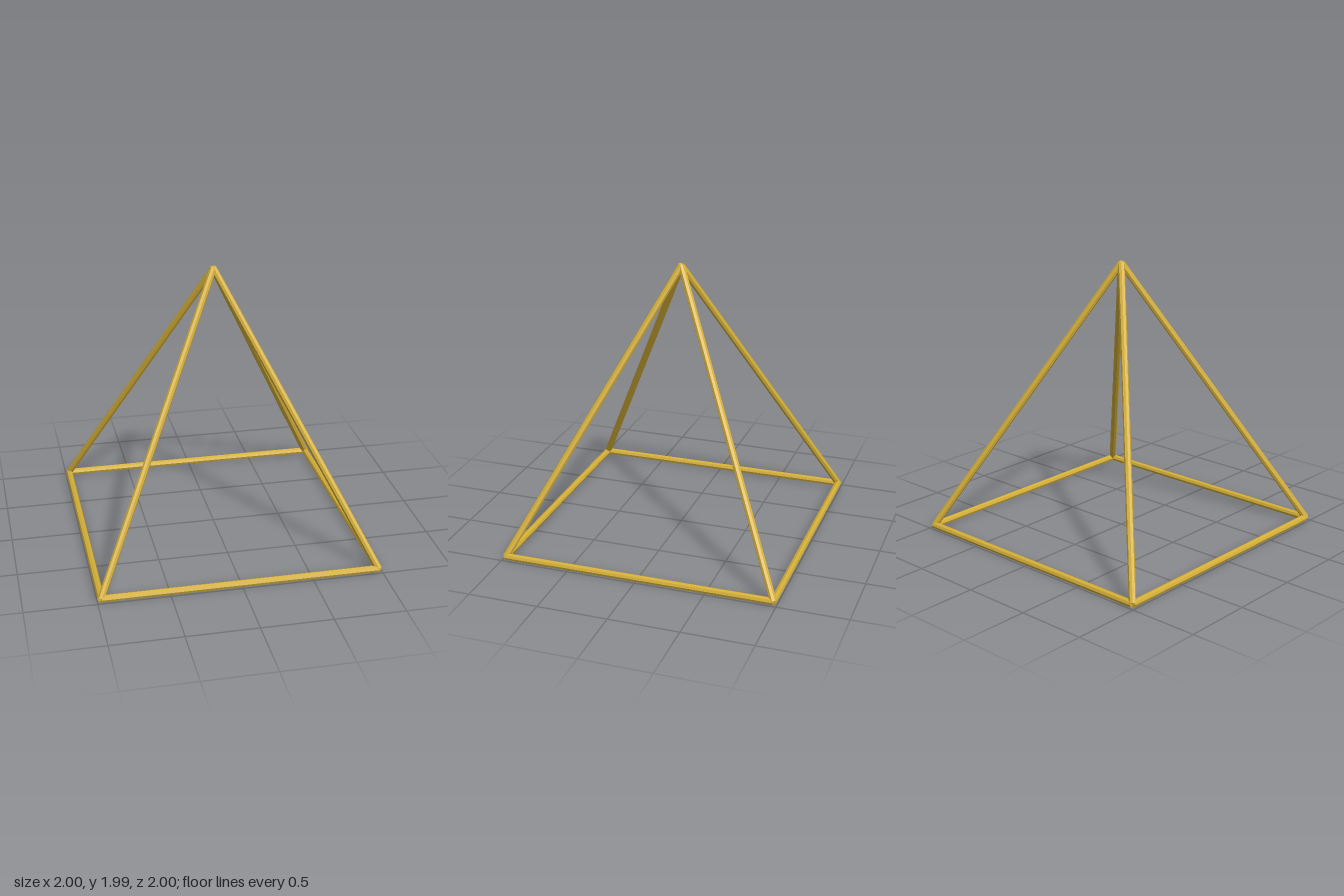
import * as THREE from 'three';

export function createModel() {
  const group = new THREE.Group();
  const material = new THREE.MeshStandardMaterial({ color: 0xd4af37, flatShading: true });
  const radius = 0.025, half = 0.975;
  const up = new THREE.Vector3(0, 1, 0);

  // Straight eight-sided rod between two points
  function rod(name, a, b) {
    const axis = b.clone().sub(a);
    const mesh = new THREE.Mesh(new THREE.CylinderGeometry(radius, radius, axis.length(), 8), material);
    mesh.position.copy(a).add(b).multiplyScalar(0.5);
    mesh.quaternion.setFromUnitVectors(up, axis.normalize());
    mesh.name = name;
    group.add(mesh);
  }

  const apex = new THREE.Vector3(0, radius + 2 * half, 0);
  const corners = [[1, 1], [1, -1], [-1, -1], [-1, 1]].map(
    ([x, z]) => new THREE.Vector3(x * half, radius, z * half));
  const sides = ['left', 'back', 'right', 'front'];
  const cornerNames = ['frontLeft', 'backLeft', 'backRight', 'frontRight'];

  // Square base frame and the four sloping edges that meet at the apex
  corners.forEach((corner, i) => {
    rod(sides[i] + 'BaseRod', corner, corners[(i + 1) % 4]);
    rod(cornerNames[i] + 'SlopingRod', corner, apex);
  });

  return group;
}
